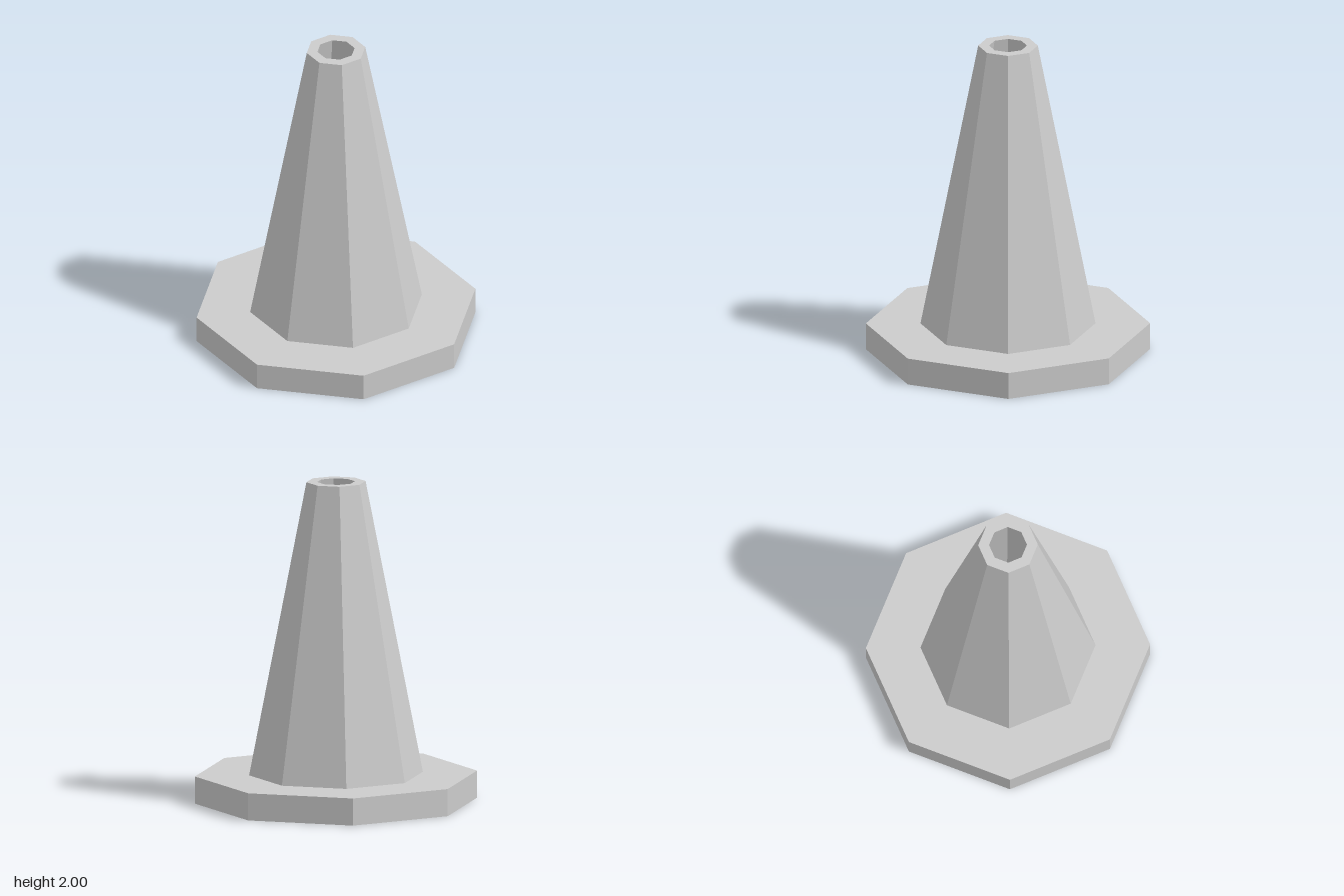
import * as THREE from 'three';

const SIDES = 8;
const BASE_TOP = 0.17;

// Spins a profile of [radius, height] points into an eight-sided flat-shaded shell
function octagonalPart(name, profile) {
  const points = profile.map(([r, y]) => new THREE.Vector2(r, y));
  const mesh = new THREE.Mesh(
    new THREE.LatheGeometry(points, SIDES),
    new THREE.MeshStandardMaterial({ color: 0xcccccc, flatShading: true, side: THREE.DoubleSide })
  );
  mesh.name = name;
  return mesh;
}

export function createModel() {
  const group = new THREE.Group();
  group.name = 'trafficCone';

  // Wide octagonal foot: underside, rim and upper face
  group.add(octagonalPart('base', [[0.49, 0], [0.877, 0], [0.877, BASE_TOP], [0.54, BASE_TOP]]));

  // Tapered outer wall with the flat lip around the top opening
  group.add(octagonalPart('coneWall', [[0.54, BASE_TOP], [0.184, 2], [0.117, 2]]));

  // Hollow inside, open at both ends
  group.add(octagonalPart('innerWall', [[0.117, 2], [0.49, 0]]));

  return group;
}
